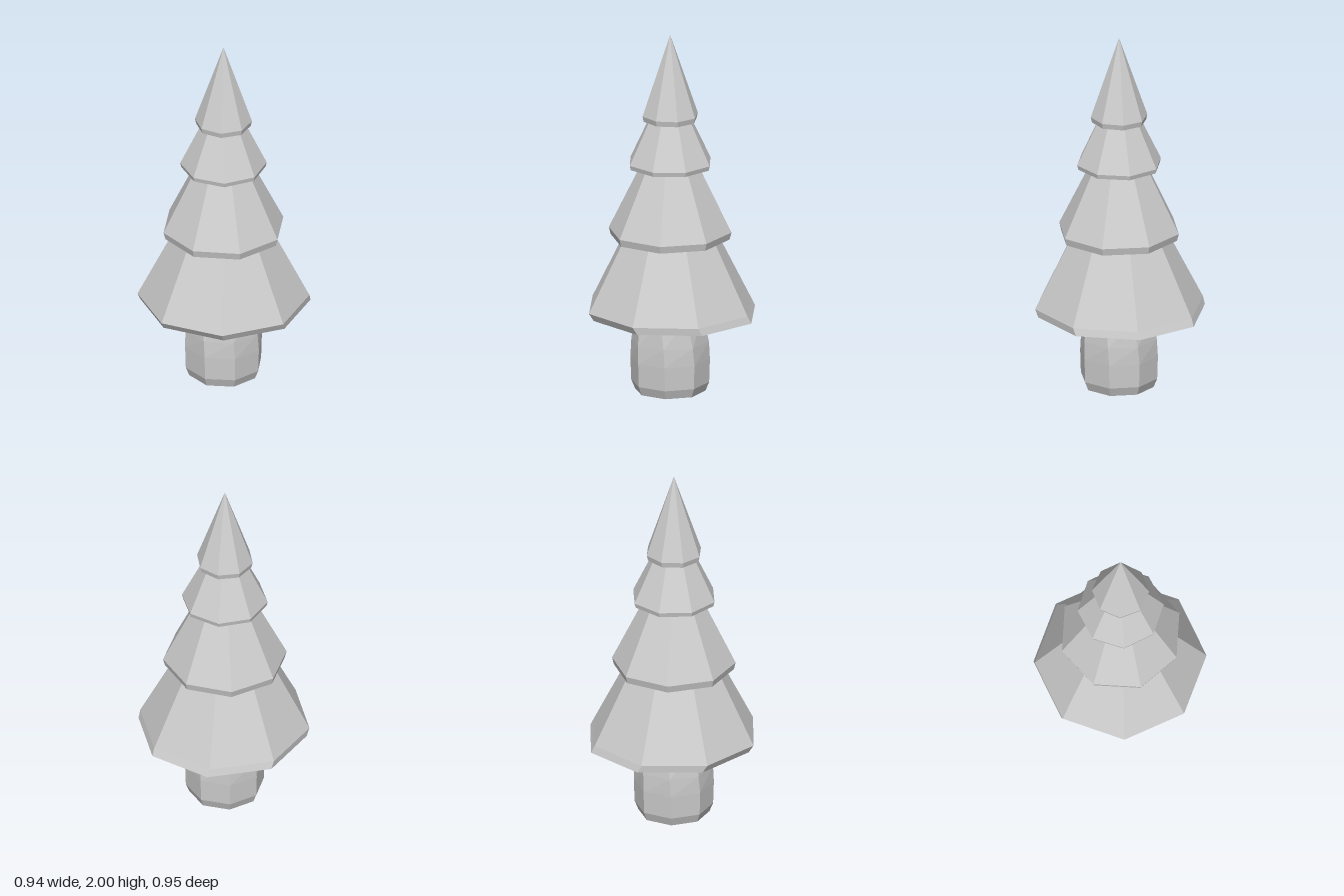
import * as THREE from 'three';

const SIDES = 8;
const material = new THREE.MeshStandardMaterial({ color: 0xcccccc, flatShading: true });

// Octagonal loft through rings of [y, radius, turn in degrees, centre x, centre z], capped at both ends
function loft(name, rings) {
  const pos = [];
  const tri = (...pts) => pts.forEach((p) => pos.push(...p));
  const point = ([y, r, turn, cx, cz], i) => {
    const a = THREE.MathUtils.degToRad(turn + ((i % SIDES) * 360) / SIDES);
    return [cx + r * Math.cos(a), y, cz + r * Math.sin(a)];
  };
  const last = rings.length - 1;
  for (let i = 0; i < SIDES; i++) {
    for (let k = 0; k < last; k++) {
      const a = point(rings[k], i), b = point(rings[k], i + 1);
      const c = point(rings[k + 1], i), d = point(rings[k + 1], i + 1);
      tri(a, c, b);
      if (rings[k + 1][1] > 0) tri(b, c, d);
    }
    const [bottom, top] = [rings[0], rings[last]];
    tri([bottom[3], bottom[0], bottom[4]], point(bottom, i), point(bottom, i + 1));
    if (top[1] > 0) tri([top[3], top[0], top[4]], point(top, i + 1), point(top, i));
  }
  const geometry = new THREE.BufferGeometry();
  geometry.setAttribute('position', new THREE.Float32BufferAttribute(pos, 3));
  geometry.computeVertexNormals();
  const mesh = new THREE.Mesh(geometry, material);
  mesh.name = name;
  return mesh;
}

export function createModel() {
  const tree = new THREE.Group();
  tree.name = 'tree';
  const cx = 0.003, cz = 0.01;

  // Bulging trunk that twists a little towards the top
  tree.add(loft('trunk', [
    [0, 0.193, 27, cx, cz],
    [0.05, 0.213, 27, cx, cz],
    [0.18, 0.217, 27, cx, cz],
    [0.28, 0.213, 29, cx, cz],
    [0.44, 0.187, 35, cx, cz],
  ]));

  // Foliage skirts: a short undercut rim, then a slope running up inside the next skirt
  const skirts = [
    { name: 'bottomFoliage', turn: 0, base: [0.43, 0.462, -0.006, -0.011], rim: [0.47, 0.465], top: [0.9, 0.247] },
    { name: 'lowerFoliage', turn: 28.5, base: [0.86, 0.326, cx, cz], rim: [0.9, 0.336], top: [1.28, 0.15] },
    { name: 'upperFoliage', turn: -2, base: [1.26, 0.228, cx, cz], rim: [1.285, 0.234], top: [1.54, 0.112] },
    { name: 'topFoliage', turn: 4, base: [1.52, 0.148, cx, cz], rim: [1.55, 0.155], top: [2, 0] },
  ];
  for (const { name, turn, base, rim, top } of skirts) {
    tree.add(loft(name, [
      [base[0], base[1], turn, base[2], base[3]],
      [...rim, turn, cx, cz],
      [...top, turn, cx, cz],
    ]));
  }
  return tree;
}
